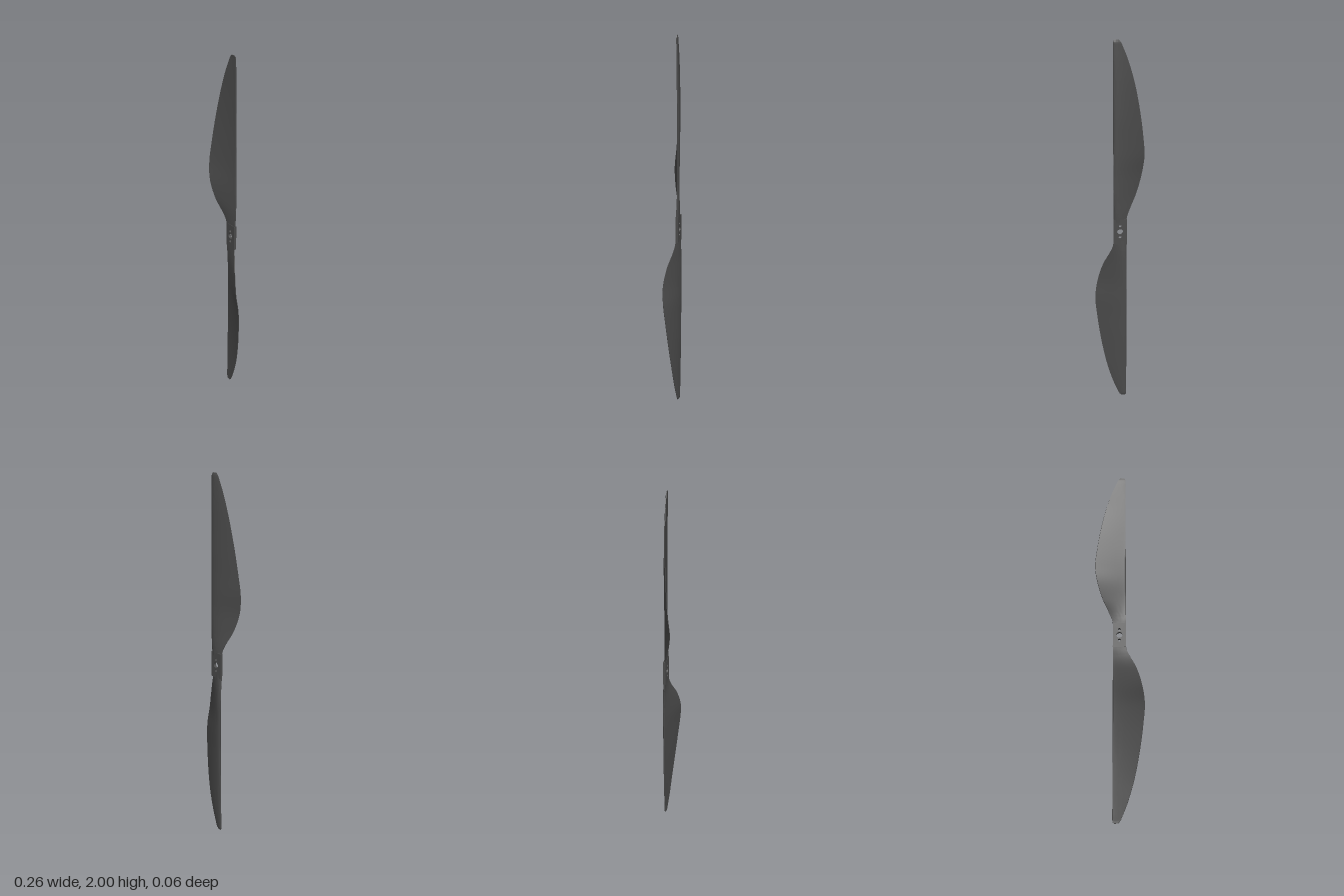
import * as THREE from 'three';
import { toCreasedNormals } from 'three/addons/utils/BufferGeometryUtils.js';

const material = new THREE.MeshStandardMaterial({ color: 0x4a4a4a });

// Blade stations: height above hub centre, trailing x, trailing z, leading x, leading z, thickness
const stations = [
  [0.05, -0.035, -0.016, 0.035, -0.017, 0.011],
  [0.08, -0.037, -0.015, 0.035, -0.018, 0.012],
  [0.12, -0.052, -0.007, 0.035, -0.021, 0.013],
  [0.2, -0.089, 0.017, 0.035, -0.024, 0.015],
  [0.3, -0.118, 0.031, 0.035, -0.024, 0.016],
  [0.4, -0.131, 0.025, 0.035, -0.024, 0.016],
  [0.5, -0.123, 0.016, 0.035, -0.024, 0.014],
  [0.6, -0.11, 0.008, 0.035, -0.024, 0.013],
  [0.7, -0.093, 0, 0.035, -0.023, 0.011],
  [0.8, -0.071, -0.007, 0.035, -0.022, 0.009],
  [0.9, -0.041, -0.012, 0.035, -0.021, 0.007],
  [0.97, -0.013, -0.016, 0.035, -0.02, 0.005],
  [0.99, -0.003, -0.017, 0.034, -0.02, 0.004],
  [1.0, 0.007, -0.017, 0.027, -0.019, 0.002],
];

// Smooth interpolation of one column between stations
function sample(k, f) {
  const n = stations.length - 1;
  const i = Math.min(Math.floor(f), n - 1);
  const t = f - i;
  const at = (j) => stations[Math.max(0, Math.min(n, j))];
  const y = (j) => at(j)[0];
  const slope = (j) => (at(j + 1)[k] - at(j - 1)[k]) / (y(j + 1) - y(j - 1));
  const h = y(i + 1) - y(i);
  const t2 = t * t, t3 = t2 * t;
  return (2 * t3 - 3 * t2 + 1) * at(i)[k] + (t3 - 2 * t2 + t) * h * slope(i)
    + (3 * t2 - 2 * t3) * at(i + 1)[k] + (t3 - t2) * h * slope(i + 1);
}

// Airfoil loop: curved back from leading to trailing edge, then the flatter front
function section(f) {
  const half = 14;
  const n = stations.length - 1;
  const i = Math.min(Math.floor(f), n - 1);
  const y = THREE.MathUtils.lerp(stations[i][0], stations[i + 1][0], f - i);
  const [tx, tz, lx, lz, thick] = [1, 2, 3, 4, 5].map((k) => sample(k, f));
  const ring = [];
  for (let j = 0; j < half * 2; j++) {
    const back = j <= half;
    const s = (1 - Math.cos((Math.PI * j) / half)) / 2;
    const bulge = 2.6 * Math.sqrt(s) * (1 - s) * thick;
    const edge = 0.0012;
    const z = THREE.MathUtils.lerp(lz, tz, s) + (back ? -edge - bulge : edge - bulge * 0.1);
    ring.push([THREE.MathUtils.lerp(lx, tx, s), y, z]);
  }
  return ring;
}

function bladeGeometry() {
  const rings = (stations.length - 1) * 5;
  const positions = [], index = [];
  let m = 0;
  for (let i = 0; i <= rings; i++) {
    const ring = section(i / 5);
    m = ring.length;
    ring.forEach((p) => positions.push(...p));
  }
  for (let i = 0; i < rings; i++) {
    for (let j = 0; j < m; j++) {
      const a = i * m + j, d = i * m + ((j + 1) % m);
      index.push(a, d, a + m, d, d + m, a + m);
    }
  }
  // Root and tip caps
  const top = rings * m;
  for (let j = 1; j < m - 1; j++) {
    index.push(0, j + 1, j, top, top + j, top + j + 1);
  }
  const g = new THREE.BufferGeometry();
  g.setAttribute('position', new THREE.Float32BufferAttribute(positions, 3));
  g.setIndex(index);
  return toCreasedNormals(g, 0.7);
}

function hubGeometry() {
  const w = 0.035, h = 0.07;
  const shape = new THREE.Shape([
    new THREE.Vector2(-w, -h), new THREE.Vector2(w, -h),
    new THREE.Vector2(w, h), new THREE.Vector2(-w, h),
  ]);
  // Shaft hole with a small screw hole above and below
  for (const [y, r] of [[0, 0.016], [0.031, 0.008], [-0.031, 0.008]]) {
    shape.holes.push(new THREE.Path().absarc(0, y, r, 0, Math.PI * 2, true));
  }
  const g = new THREE.ExtrudeGeometry(shape, { depth: 0.014, bevelEnabled: false, curveSegments: 20 });
  g.translate(0, 0, -0.0285);
  return g;
}

export function createModel() {
  const model = new THREE.Group();
  model.name = 'propeller';

  const hub = new THREE.Mesh(hubGeometry(), material);
  hub.name = 'hub';
  hub.position.y = 1;
  model.add(hub);

  // Two identical blades, half a turn apart
  const geometry = bladeGeometry();
  ['upperBlade', 'lowerBlade'].forEach((name, i) => {
    const blade = new THREE.Mesh(geometry, material);
    blade.name = name;
    blade.position.y = 1;
    blade.rotation.z = i * Math.PI;
    model.add(blade);
  });
  return model;
}
